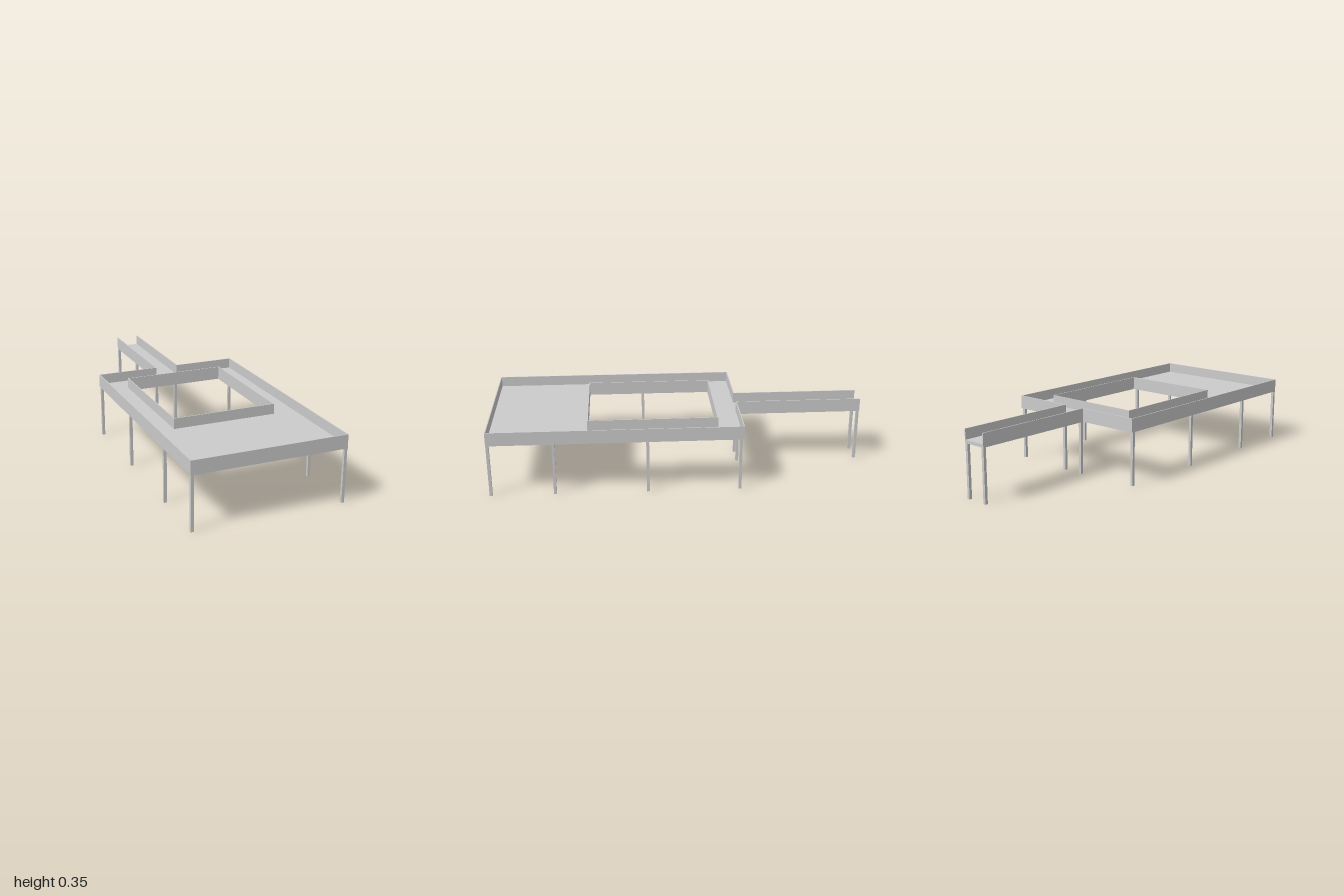
import * as THREE from 'three';

export function createModel() {
  const model = new THREE.Group();
  const material = new THREE.MeshStandardMaterial({ color: 0xcccccc });
  const BOTTOM = 0.283, FLOOR = 0.3, TOP = 0.355;
  const W = 0.405, FRONT = 1, BACK = -0.32; // platform outline
  const PATH = 0.067, END = -1; // walkway half width and far end
  const HOLE = 0.278, HOLE_FRONT = 0.488, HOLE_BACK = -0.197;
  const T = 0.005; // wall thickness
  const POST = 0.015;

  function box(name, x0, x1, y0, y1, z0, z1) {
    const mesh = new THREE.Mesh(new THREE.BoxGeometry(x1 - x0, y1 - y0, z1 - z0), material);
    mesh.position.set((x0 + x1) / 2, (y0 + y1) / 2, (z0 + z1) / 2);
    mesh.name = name;
    model.add(mesh);
  }

  // Floor slab with walkway and opening, drawn in plan (shape y = -z)
  const e = 0.001; // keeps slab edges just inside the walls
  const plan = (pts) => pts.map(([x, z]) => new THREE.Vector2(x, -z));
  const shape = new THREE.Shape(plan([
    [-W + e, FRONT - e], [W - e, FRONT - e], [W - e, BACK + e], [PATH - e, BACK + e],
    [PATH - e, END], [-PATH + e, END], [-PATH + e, BACK + e], [-W + e, BACK + e],
  ]));
  const h = HOLE - e;
  shape.holes.push(new THREE.Path(plan([
    [-h, HOLE_FRONT - e], [-h, HOLE_BACK + e], [h, HOLE_BACK + e], [h, HOLE_FRONT - e],
  ])));
  const slab = new THREE.ExtrudeGeometry(shape, { depth: FLOOR - BOTTOM, bevelEnabled: false });
  slab.rotateX(-Math.PI / 2);
  slab.translate(0, BOTTOM, 0);
  const floor = new THREE.Mesh(slab, material);
  floor.name = 'floor';
  model.add(floor);

  // Walls spanning the width
  box('frontWall', -W, W, BOTTOM, TOP, FRONT - T, FRONT);
  box('openingFrontWall', -HOLE, HOLE, BOTTOM, TOP, HOLE_FRONT - T, HOLE_FRONT);
  box('openingBackWall', -HOLE, HOLE, BOTTOM, TOP, HOLE_BACK, HOLE_BACK + T);

  // Mirrored walls and posts
  for (const s of [-1, 1]) {
    const side = s > 0 ? 'left' : 'right';
    const wall = (name, a, b, z0, z1) =>
      box(side + name, Math.min(s * a, s * b), Math.max(s * a, s * b), BOTTOM, TOP, z0, z1);
    wall('OuterWall', W - T, W, BACK, FRONT - T);
    wall('BackWall', PATH, W - T, BACK, BACK + T);
    wall('WalkwayWall', PATH - T, PATH, END, BACK + T);
    wall('OpeningWall', HOLE - T, HOLE, HOLE_BACK + T, HOLE_FRONT - T);

    const post = (name, x, z) => box(side + name, s * x - POST / 2, s * x + POST / 2,
      0, BOTTOM, z - POST / 2, z + POST / 2);
    for (const z of [0.992, 0.661, 0.178, -0.304]) post('PlatformPost', 0.396, z);
    for (const z of [-0.329, -0.991]) post('WalkwayPost', 0.0585, z);
  }
  return model;
}
